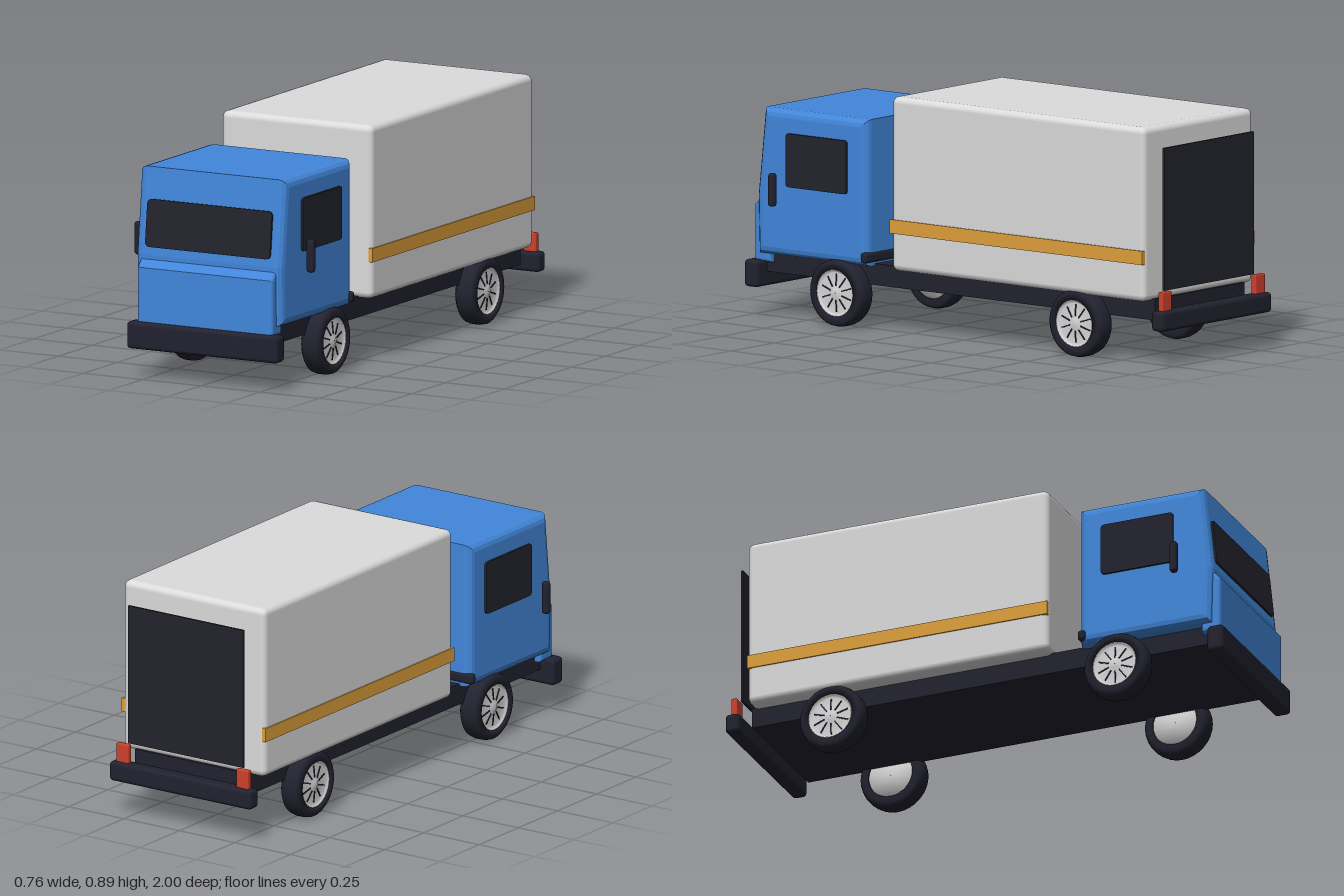
import * as THREE from 'three';
import { RoundedBoxGeometry } from 'three/addons/geometries/RoundedBoxGeometry.js';

const mat = (name, color) => {
  const m = new THREE.MeshStandardMaterial({ color });
  m.name = name;
  return m;
};

export function createModel() {
  const truck = new THREE.Group();
  truck.name = 'boxTruck';
  const blue = mat('cabBlue', 0x4287db);
  const white = mat('cargoGrey', 0xdcdcdc);
  const dark = mat('darkTrim', 0x222230);
  const glass = mat('darkGlass', 0x23232e);
  const orange = mat('orangeStripe', 0xdfa03c);
  const red = mat('tailRed', 0xd0402c);
  const silver = mat('rimSilver', 0xd8d8d8);

  const add = (name, geo, material, parent = truck) => {
    const m = new THREE.Mesh(geo, material);
    m.name = name;
    parent.add(m);
    return m;
  };
  // box given by its minimum and maximum on each axis, rounded when r > 0
  const block = (name, [x0, x1], [y0, y1], [z0, z1], material, r = 0) => {
    const s = [x1 - x0, y1 - y0, z1 - z0];
    const geo = r ? new RoundedBoxGeometry(...s, 2, r) : new THREE.BoxGeometry(...s);
    geo.translate((x0 + x1) / 2, (y0 + y1) / 2, (z0 + z1) / 2);
    return add(name, geo, material);
  };
  // side profile of [z, y] points extruded across x with bevelled edges
  const extrudeAcross = (name, pts, halfWidth, bevel, material) => {
    const shape = new THREE.Shape(pts.map(([z, y]) => new THREE.Vector2(-z, y)));
    const geo = new THREE.ExtrudeGeometry(shape, {
      depth: 2 * (halfWidth - bevel), bevelEnabled: true, bevelSize: bevel,
      bevelThickness: bevel, bevelOffset: -bevel, bevelSegments: 3,
    });
    geo.translate(0, 0, -(halfWidth - bevel));
    geo.rotateY(Math.PI / 2);
    return add(name, geo, material);
  };
  // rounded rectangle plate facing +z, centred on the origin
  const plate = (w, h, r, depth) => {
    const s = new THREE.Shape();
    const a = w / 2, b = h / 2;
    s.moveTo(-a + r, -b);
    s.lineTo(a - r, -b); s.quadraticCurveTo(a, -b, a, -b + r);
    s.lineTo(a, b - r); s.quadraticCurveTo(a, b, a - r, b);
    s.lineTo(-a + r, b); s.quadraticCurveTo(-a, b, -a, b - r);
    s.lineTo(-a, -b + r); s.quadraticCurveTo(-a, -b, -a + r, -b);
    const g = new THREE.ExtrudeGeometry(s, { depth, bevelEnabled: false, curveSegments: 4 });
    return g.translate(0, 0, -depth / 2);
  };

  // chassis and bumpers
  block('chassis', [-0.26, 0.26], [0.165, 0.245], [-0.915, 0.95], dark);
  block('frontBumper', [-0.32, 0.32], [0.11, 0.212], [0.935, 1], dark, 0.015);
  block('rearBumper', [-0.32, 0.32], [0.135, 0.21], [-1, -0.943], dark, 0.015);
  block('rearCabBar', [-0.32, 0.32], [0.25, 0.29], [0.415, 0.445], dark, 0.012);

  // cab with raked front and protruding grille panel
  extrudeAcross('cab', [[0.42, 0.237], [0.945, 0.237], [0.95, 0.46], [0.915, 0.785], [0.42, 0.785]], 0.31, 0.03, blue);
  extrudeAcross('frontPanel', [[0.9, 0.205], [0.976, 0.205], [0.976, 0.415], [0.95, 0.443], [0.9, 0.443]], 0.287, 0.012, blue);
  const windshield = add('windshield', plate(0.53, 0.178, 0.02, 0.009), glass);
  windshield.position.set(0, 0.578, 0.941);
  windshield.rotation.x = -Math.atan(0.035 / 0.325);

  // cargo box, with its rear door set behind the end wall
  block('cargoBox', [-0.32, 0.32], [0.237, 0.888], [-0.91, 0.297], white, 0.025);
  block('rearDoor', [-0.26, 0.26], [0.28, 0.812], [-0.96, -0.951], glass);

  // wheel parts, axle along x, outer side towards +x
  const tyreProfile = [[0.088, -0.04], [0.112, -0.04], [0.123, -0.031], [0.127, -0.014],
    [0.127, 0.014], [0.123, 0.031], [0.112, 0.04], [0.088, 0.04], [0.088, -0.04]];
  const tyreGeo = new THREE.LatheGeometry(tyreProfile.map(([r, y]) => new THREE.Vector2(r, y)), 32);
  const rimProfile = [[0.001, -0.034], [0.09, -0.034], [0.09, 0.036], [0.083, 0.036],
    [0.076, 0.026], [0.02, 0.032], [0.016, 0.036], [0.001, 0.036]];
  const rimGeo = new THREE.LatheGeometry(rimProfile.map(([r, y]) => new THREE.Vector2(r, y)), 32);
  const makeWheel = (side, z) => {
    const wheel = new THREE.Group();
    wheel.name = (z > 0 ? 'front' : 'rear') + (side > 0 ? 'Left' : 'Right') + 'Wheel';
    add('tyre', tyreGeo, dark, wheel);
    add('rim', rimGeo, silver, wheel);
    // dark slits between the spokes
    for (let i = 0; i < 10; i++) {
      const slit = new THREE.BoxGeometry(0.045, 0.004, 0.005);
      slit.rotateZ(-0.1).translate(0.049, 0.0295, 0).rotateY((i * Math.PI) / 5);
      add('rimSlit', slit, dark, wheel);
    }
    wheel.rotation.z = -side * Math.PI / 2;
    wheel.position.set(side * 0.28, 0.127, z);
    truck.add(wheel);
  };

  // mirrored side details
  for (const s of [-1, 1]) {
    const span = (a, b) => (s > 0 ? [a, b] : [-b, -a]);
    const side = s > 0 ? 'left' : 'right';
    const win = add(side + 'Window', plate(0.29, 0.2, 0.015, 0.009), glass);
    win.rotation.y = Math.PI / 2;
    win.position.set(s * 0.314, 0.6, 0.655);
    block(side + 'Mirror', span(0.35, 0.381), [0.43, 0.555], [0.81, 0.838], dark, 0.012);
    block(side + 'Stripe', span(0.308, 0.325), [0.378, 0.43], [-0.908, 0.297], orange);
    block(side + 'TailLight', span(0.243, 0.298), [0.205, 0.28], [-0.983, -0.96], red, 0.005);
    makeWheel(s, 0.565);
    makeWheel(s, -0.577);
  }
  return truck;
}
